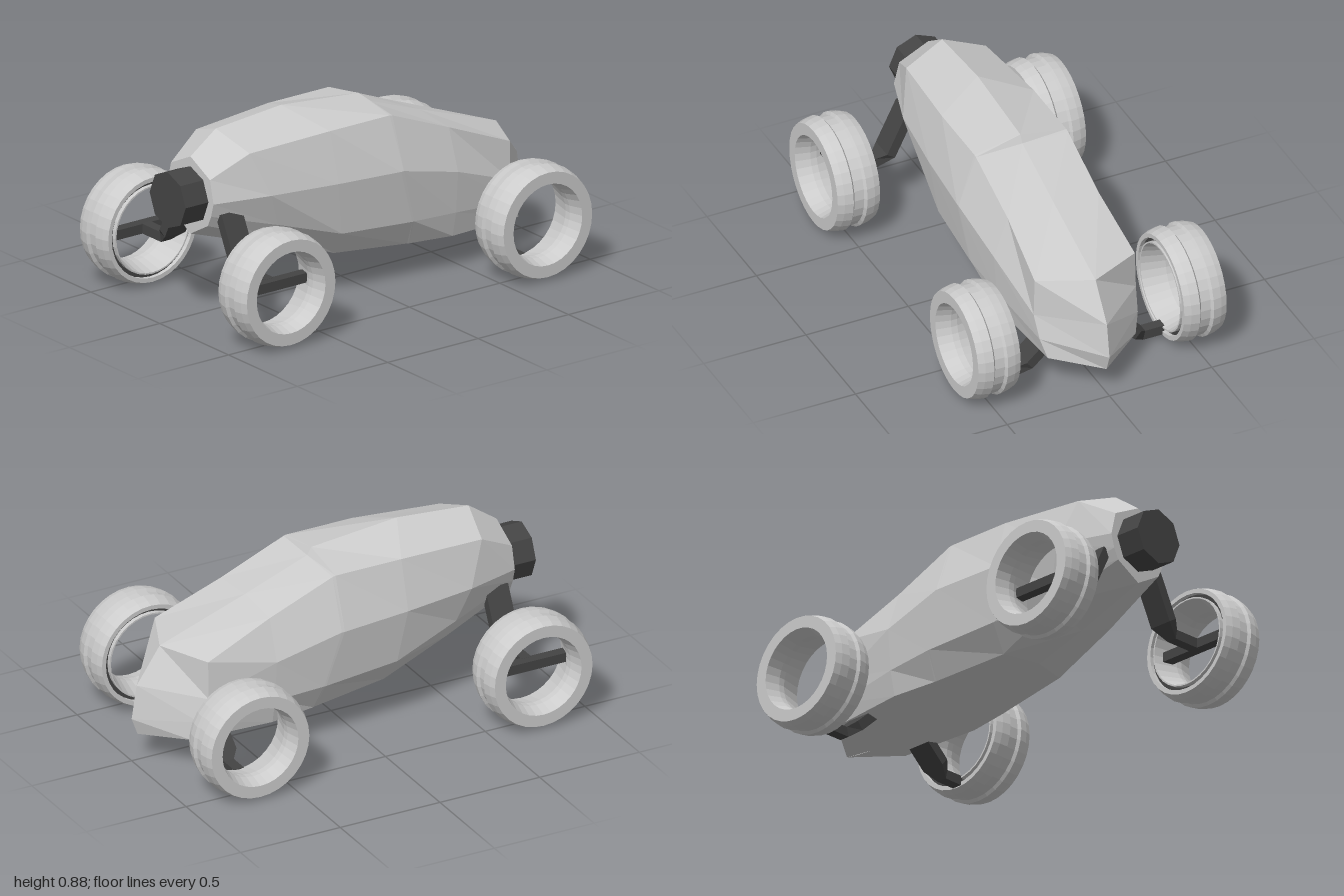
import * as THREE from 'three';

const grey = new THREE.MeshStandardMaterial({ color: 0xcccccc, flatShading: true });
const dark = new THREE.MeshStandardMaterial({ color: 0x444444, flatShading: true });

function addMesh(parent, name, geometry, material) {
  const mesh = new THREE.Mesh(geometry, material);
  mesh.name = name;
  parent.add(mesh);
  return mesh;
}

// Skin a list of rings (each clockwise when seen from the first end)
function loft(rings, capEnd) {
  const n = rings[0].length;
  const index = [];
  const last = (rings.length - 1) * n;
  for (let i = 0; i < rings.length - 1; i++) {
    for (let j = 0; j < n; j++) {
      const a = i * n + j, b = i * n + (j + 1) % n;
      index.push(a, b, b + n, a, b + n, a + n);
    }
  }
  for (let j = 1; j < n - 1; j++) {
    index.push(0, j + 1, j);
    if (capEnd) index.push(last, last + j, last + j + 1);
  }
  const geometry = new THREE.BufferGeometry();
  geometry.setAttribute('position', new THREE.Float32BufferAttribute(rings.flat(2), 3));
  geometry.setIndex(index);
  const flat = geometry.toNonIndexed();
  flat.computeVertexNormals();
  return flat;
}

// Half sections from nose to tail: top, shoulder, side, low side, sill, keel
function bodyGeometry() {
  const halves = [
    [[0, .75, .83], [.142, .68, .83], [.168, .573, .83], [.15, .51, .83], [.126, .46, .83], [0, .388, .83]],
    [[0, .85, .69], [.195, .78, .65], [.25, .58, .57], [.215, .42, .51], [.177, .335, .48], [0, .27, .48]],
    [[0, .88, .33], [.225, .80, .23], [.288, .57, .23], [.26, .32, .19], [.175, .20, .17], [0, .195, .22]],
    [[0, .84, -.10], [.225, .80, -.10], [.31, .56, -.10], [.285, .30, -.18], [.22, .175, -.2], [0, .14, -.2]],
    [[0, .805, -.12], [.225, .797, -.115], [.31, .56, -.115], [.285, .30, -.19], [.222, .174, -.21], [0, .139, -.21]],
    [[0, .69, -.43], [.223, .67, -.43], [.29, .48, -.43], [.275, .285, -.43], [.25, .168, -.43], [0, .122, -.5]],
    [[0, .54, -.86], [.245, .54, -.75], [.25, .36, -.75], [.24, .25, -.79], [.215, .16, -.82], [0, .112, -.8]],
    [[0, .54, -.86], [0, .54, -.86], [0, .37, -.975], [0, .21, -1], [0, .13, -.97], [0, .12, -.9]],
  ];
  const rings = halves.map(h => [
    ...h,
    ...h.slice(1, 5).reverse().map(([x, y, z]) => [-x, y, z]),
  ]);
  return loft(rings, false);
}

// Bent bar running inward from the wheel; path entries are [x, y, half width]
function armGeometry(path) {
  const t = .023;
  const rings = path.map(([x, y, w], i) => {
    const p = path[Math.max(i - 1, 0)], q = path[Math.min(i + 1, path.length - 1)];
    const len = Math.hypot(q[0] - p[0], q[1] - p[1]);
    const nx = t * (q[1] - p[1]) / len, ny = t * (p[0] - q[0]) / len;
    return [
      [x + nx, y + ny, w], [x + nx, y + ny, -w],
      [x - nx, y - ny, -w], [x - nx, y - ny, w],
    ];
  });
  return loft(rings, true);
}

function latheX(profile) {
  const points = profile.map(([r, x]) => new THREE.Vector2(r, x));
  return new THREE.LatheGeometry(points, 32).rotateZ(-Math.PI / 2);
}

// Hollow wheel with a tread groove and a recess on its inner face
function makeWheel() {
  const wheel = new THREE.Group();
  wheel.name = 'wheel';
  addMesh(wheel, 'tyre', latheX([
    [.225, 0], [.245, 0], [.256, .03], [.263, .07], [.25, .08], [.25, .127],
    [.263, .137], [.256, .177], [.245, .207], [.19, .207], [.172, .14],
    [.172, .11], [.2, 0], [.207, 0], [.207, .03], [.225, .03], [.225, 0],
  ]), grey);
  addMesh(wheel, 'innerRecess', latheX([[.207, .02], [.225, .02]]), dark);
  wheel.position.set(.4, .267, 0);
  return wheel;
}

export function createModel() {
  const model = new THREE.Group();
  model.name = 'car';

  addMesh(model, 'body', bodyGeometry(), grey);

  // Nose cap
  const nose = addMesh(model, 'noseCap',
    new THREE.CylinderGeometry(.131, .131, .14, 8).rotateX(Math.PI / 2), dark);
  nose.position.set(0, .573, .886);

  // Axles: a wheel and its arm, turned half round for the other side
  const axles = [
    { name: 'front', z: .735, path: [[.45, .265, .025], [.31, .265, .025], [.255, .305, .057], [.155, .51, .057]] },
    { name: 'rear', z: -.685, path: [[.41, .05, .025], [.31, .05, .025], [.265, .085, .058], [.16, .18, .058]] },
  ];
  for (const { name, z, path } of axles) {
    for (const side of ['Left', 'Right']) {
      const corner = new THREE.Group();
      corner.name = name + side + 'Corner';
      corner.add(makeWheel());
      addMesh(corner, 'suspensionArm', armGeometry(path), dark);
      // Cross bar inside the front wheels
      if (name === 'front') {
        const bar = addMesh(corner, 'hubBar', new THREE.BoxGeometry(.05, .045, .37), dark);
        bar.position.set(.465, .265, 0);
      }
      corner.position.z = z;
      if (side === 'Right') corner.rotation.y = Math.PI;
      model.add(corner);
    }
  }
  return model;
}
